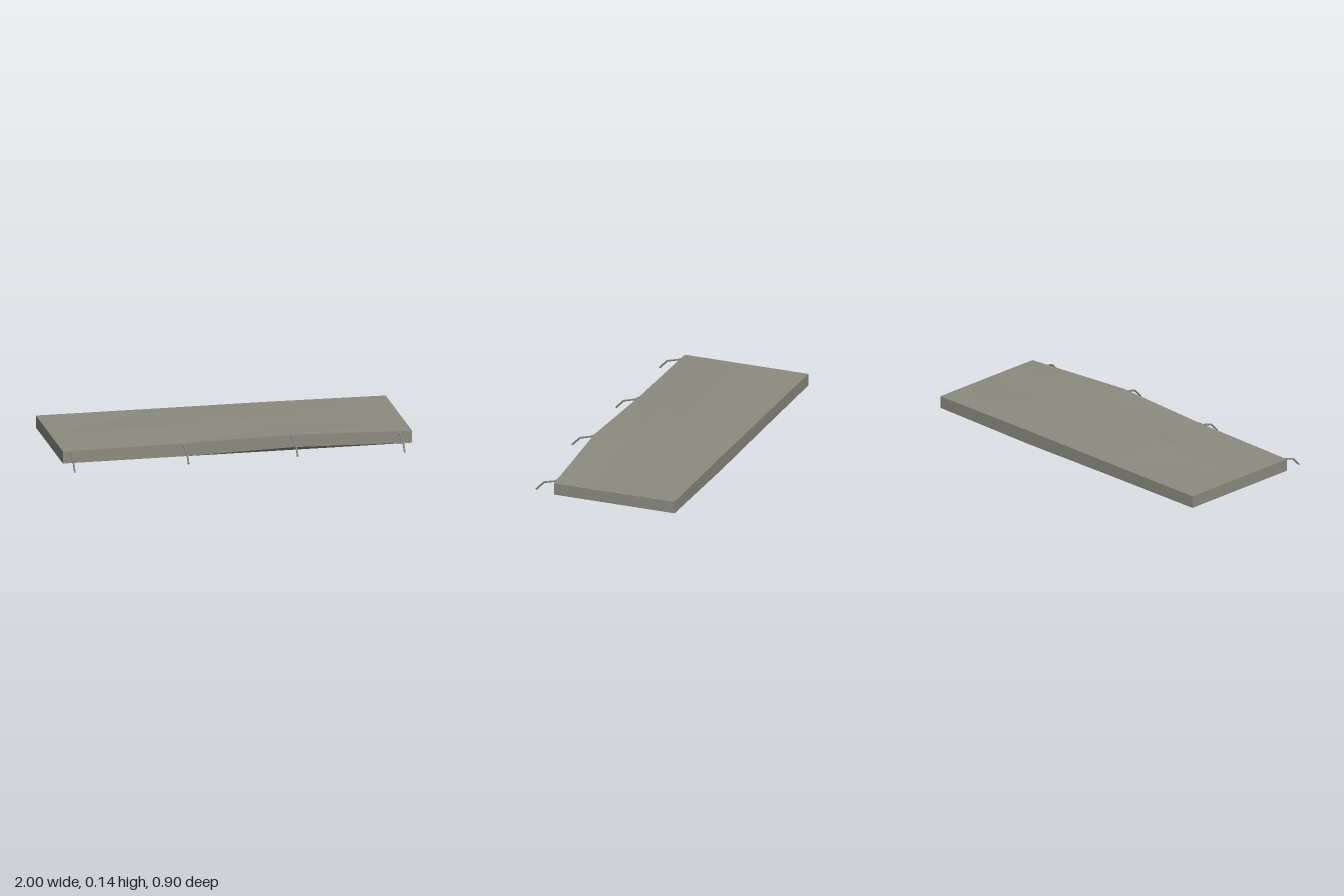
import * as THREE from 'three';

export function createModel() {
  const group = new THREE.Group();
  group.name = 'brokenSlab';
  const concrete = new THREE.MeshStandardMaterial({ color: 0x8b8b80, flatShading: true });
  concrete.name = 'concrete';
  const steel = new THREE.MeshStandardMaterial({ color: 0x85857c });
  steel.name = 'steel';
  const hollow = new THREE.MeshStandardMaterial({ color: 0x8b8b80, flatShading: true, side: THREE.DoubleSide });
  hollow.name = 'concreteInside';

  const add = (name, geometry, material, parent = group) => {
    const mesh = new THREE.Mesh(geometry, material);
    mesh.name = name;
    parent.add(mesh);
    return mesh;
  };

  // Surface from rows of points, all rows the same length
  const loft = (rows) => {
    const n = rows[0].length;
    const index = [];
    for (let r = 0; r < rows.length - 1; r++) {
      for (let c = 0; c < n - 1; c++) {
        const a = r * n + c, b = a + n;
        index.push(a, b, a + 1, a + 1, b, b + 1);
      }
    }
    const g = new THREE.BufferGeometry();
    g.setAttribute('position', new THREE.Float32BufferAttribute(rows.flat(2), 3));
    g.setIndex(index);
    const flat = g.toNonIndexed();
    flat.computeVertexNormals();
    return flat;
  };

  // Warped top: columns along x, rows from back to front
  const xs = [-1, -0.31, 0.31, 1];
  const frontZ = [0.295, 0.298, 0.31, 0.278];
  const topY = [
    [0.113, 0.114, 0.116, 0.113],
    [0.113, 0.129, 0.123, 0.113],
    [0.113, 0.124, 0.125, 0.113],
    [0.113, 0.121, 0.139, 0.112],
  ];
  const rowT = [0, 0.53, 0.7, 1];
  const top = topY.map((ys, r) => ys.map((y, c) =>
    [xs[c], y, THREE.MathUtils.lerp(-0.45, frontZ[c], rowT[r])]));
  add('topFace', loft(top), concrete);

  // Bottom edges, following the warp at front and back
  const under = (edge, ys) => edge.map(([x, , z], i) => [x, ys[i], z]);
  const frontLow = under(top[3], [0.043, 0.046, 0.066, 0.043]);
  const backLow = under(top[0], [0.043, 0.04, 0.035, 0.043]);

  // Four side walls
  add('frontWall', loft([top[3], frontLow]), concrete);
  add('backWall', loft([[...top[0]].reverse(), [...backLow].reverse()]), concrete);
  add('leftWall', loft([[top[3][3], top[0][3]], [frontLow[3], backLow[3]]]), concrete);
  add('rightWall', loft([[top[0][0], top[3][0]], [backLow[0], frontLow[0]]]), concrete);

  // Ragged crater rings, from the rim inwards
  const ragged = [1, 0.88, 1.06, 0.92, 1.04, 0.9, 1.08, 0.94, 0.98];
  const ring = (radius, y) => ragged.map((k, i) => {
    const a = i / ragged.length * Math.PI * 2;
    return [-0.085 + Math.cos(a) * radius * k, y, -0.06 + Math.sin(a) * radius * k];
  });
  const rim = ring(0.16, 0.043);

  // Underside with the crater opening
  const outline = [...frontLow, ...[...backLow].reverse()];
  const flat2 = (p) => new THREE.Vector2(p[0], p[2]);
  const shape = new THREE.Shape(outline.map(flat2));
  shape.holes.push(new THREE.Path(rim.map(flat2)));
  const bottom = new THREE.ShapeGeometry(shape);
  const pos = bottom.attributes.position;
  for (let i = 0; i < pos.count; i++) {
    const x = pos.getX(i), z = pos.getY(i);
    const corner = outline.find((p) => Math.hypot(p[0] - x, p[2] - z) < 1e-4);
    pos.setXYZ(i, x, corner ? corner[1] : 0.043, z);
  }
  bottom.computeVertexNormals();
  add('underside', bottom, concrete);

  // Crater bowl
  const close = (r) => [...r, r[0]];
  const bowl = [rim, ring(0.13, 0.065), ring(0.08, 0.085), ring(0.001, 0.092)].map(close);
  add('crater', loft(bowl), hollow);

  // Bent reinforcing bar through a list of points
  const bar = (name, points, radius = 0.006) => {
    const g = new THREE.Group();
    g.name = name;
    group.add(g);
    const v = points.map((p) => new THREE.Vector3(...p));
    for (let i = 0; i < v.length - 1; i++) {
      const dir = v[i + 1].clone().sub(v[i]);
      const piece = add('barPiece', new THREE.CylinderGeometry(radius, radius, dir.length() + 0.003, 8), steel, g);
      piece.position.copy(v[i]).add(v[i + 1]).multiplyScalar(0.5);
      piece.quaternion.setFromUnitVectors(new THREE.Vector3(0, 1, 0), dir.normalize());
    }
  };

  // Bars sticking out of the front, each with a small chipped collar
  [[-0.96, 0.292, 0.103, 0.43, 0.03], [-0.31, 0.298, 0.113, 0.432, 0.04],
    [0.31, 0.31, 0.127, 0.446, 0.053], [0.93, 0.281, 0.1, 0.412, 0.03]].forEach(([x, z, y, endZ, endY]) => {
    bar('frontBar', [[x, y + 0.007, z - 0.03], [x, endY + 0.047, endZ - 0.045], [x, endY, endZ]], 0.005);
    const collar = add('barCollar', new THREE.CylinderGeometry(0.006, 0.013, 0.014, 6), concrete);
    collar.rotation.x = Math.PI / 2;
    collar.position.set(x, y, z + 0.004);
  });

  // Broken bars hanging from the crater
  bar('craterBar', [[-0.092, 0.005, 0.033], [-0.075, 0.036, -0.015], [-0.08, 0.08, -0.06]], 0.005);
  bar('craterBar', [[-0.045, 0.027, 0.005], [-0.085, 0.037, 0.025], [-0.14, 0.075, -0.03]], 0.005);
  bar('craterBar', [[-0.218, 0.038, -0.02], [-0.19, 0.06, -0.05], [-0.12, 0.08, -0.09]], 0.005);
  return group;
}
